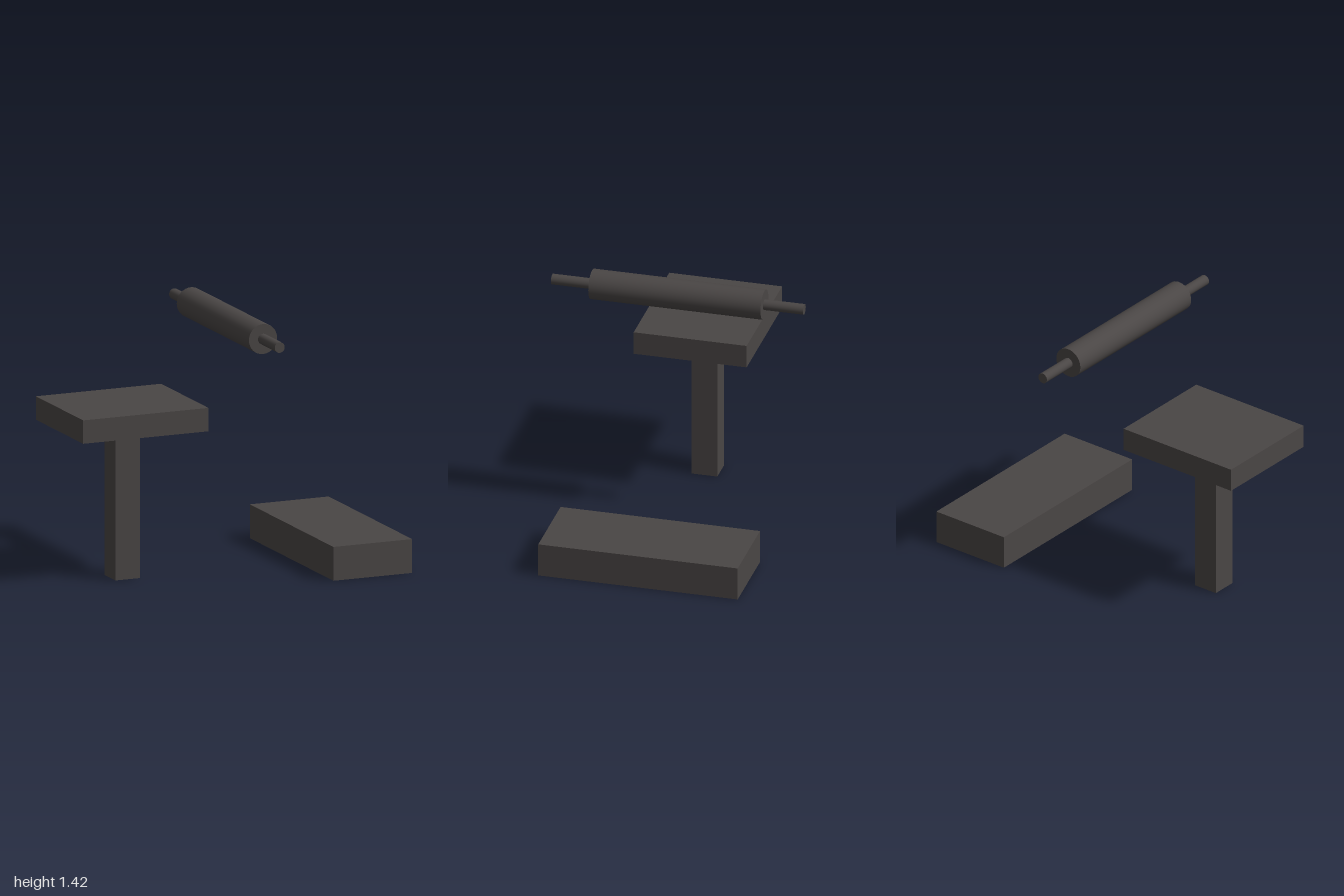
import * as THREE from 'three';

export function createModel() {
  const model = new THREE.Group();
  model.name = 'workStation';
  const charcoal = new THREE.MeshStandardMaterial({ color: 0x4a4645 });
  charcoal.name = 'charcoal';

  // Every part shares the same turn about the vertical axis
  const yaw = THREE.MathUtils.degToRad(-20);

  function add(name, geometry, x, y, z) {
    const mesh = new THREE.Mesh(geometry, charcoal);
    mesh.name = name;
    mesh.position.set(x, y, z);
    mesh.rotation.y = yaw;
    model.add(mesh);
  }
  const box = (w, h, d) => new THREE.BoxGeometry(w, h, d);
  const rod = (r, length) => new THREE.CylinderGeometry(r, r, length, 32).rotateX(Math.PI / 2);

  // Pedestal table
  add('tableTop', box(0.73, 0.128, 0.623), -0.55, 0.89, -0.279);
  add('tableLeg', box(0.142, 0.826, 0.142), -0.55, 0.413, -0.279);

  // Low bench
  add('bench', box(0.459, 0.185, 1.1), 0.595, 0.0925, 0.135);

  // Roller body with a thinner shaft showing at both ends
  add('rollerBody', rod(0.082, 0.95), 0.024, 1.342, -0.071);
  const shaftLength = 0.22, offset = 0.475 + shaftLength / 2;
  for (const [name, side] of [['rollerFrontHandle', 1], ['rollerBackHandle', -1]]) {
    add(name, rod(0.029, shaftLength),
      0.024 + side * offset * Math.sin(yaw), 1.342, -0.071 + side * offset * Math.cos(yaw));
  }
  return model;
}
